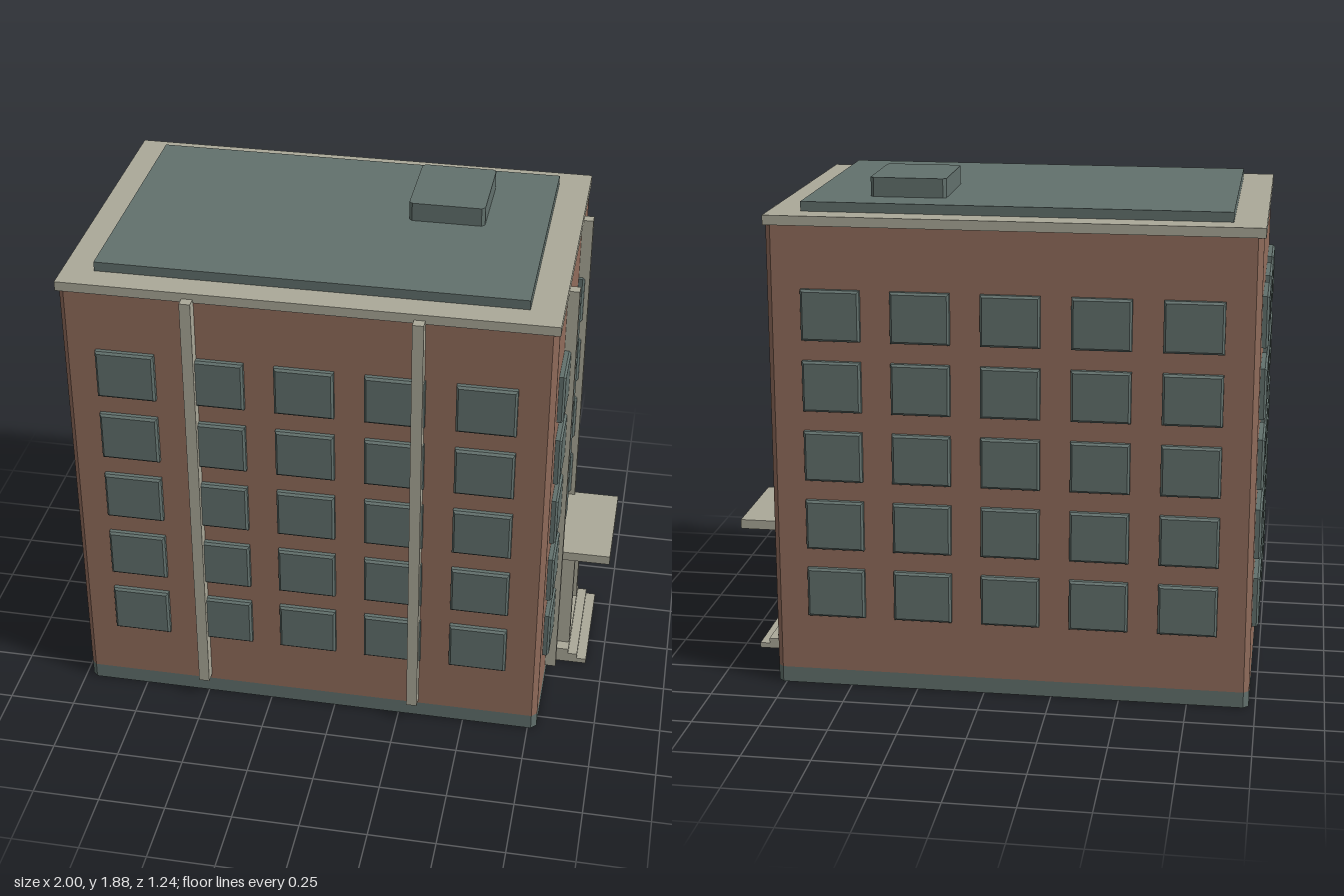
import * as THREE from 'three';

const mat = (name, color) => {
  const m = new THREE.MeshStandardMaterial({ color });
  m.name = name;
  return m;
};

export function createModel() {
  const root = new THREE.Group();
  root.name = 'apartmentBlock';
  const brick = mat('brick', 0x926d5c);
  const slate = mat('slate', 0x62716d);
  const stone = mat('stone', 0xaba999);

  const add = (name, geo, material, parent = root) => {
    const m = new THREE.Mesh(geo, material);
    m.name = name;
    parent.add(m);
    return m;
  };

  // Box given by its limits on each axis
  const box = (name, x0, x1, y0, y1, z0, z1, material, parent) => {
    const m = add(name, new THREE.BoxGeometry(x1 - x0, y1 - y0, z1 - z0), material, parent);
    m.position.set((x0 + x1) / 2, (y0 + y1) / 2, (z0 + z1) / 2);
    return m;
  };

  // Upright block with chamfered vertical edges
  const block = (name, x0, x1, y0, y1, z0, z1, c, material) => {
    const w = (x1 - x0) / 2, d = (z1 - z0) / 2;
    const s = new THREE.Shape([
      [-w + c, -d], [w - c, -d], [w, -d + c], [w, d - c],
      [w - c, d], [-w + c, d], [-w, d - c], [-w, -d + c],
    ].map(([x, y]) => new THREE.Vector2(x, y)));
    const g = new THREE.ExtrudeGeometry(s, { depth: y1 - y0, bevelEnabled: false });
    g.rotateX(-Math.PI / 2);
    const m = add(name, g, material);
    m.position.set((x0 + x1) / 2, y0, (z0 + z1) / 2);
    return m;
  };

  // Main volume, plinth and roof
  const X0 = -0.976, X1 = 0.783, Z0 = -0.594, Z1 = 0.573;
  block('plinth', X0, X1, 0, 0.06, Z0, Z1, 0.02, slate);
  block('brickWalls', X0, X1, 0.06, 1.74, Z0, Z1, 0.02, brick);
  box('cornice', -0.983, 0.788, 1.74, 1.775, -0.601, 0.58, stone);
  box('roofSlab', -0.868, 0.672, 1.775, 1.81, -0.503, 0.478, slate);
  block('roofHatch', 0.168, 0.446, 1.81, 1.88, -0.365, -0.037, 0.012, slate);

  // Window panel with a chamfered rim, facing +z, back at z = 0
  const windowGeo = (w, h) => {
    const b = 0.008, x = w / 2 - b, y = h / 2 - b;
    const s = new THREE.Shape([
      new THREE.Vector2(-x, -y), new THREE.Vector2(x, -y),
      new THREE.Vector2(x, y), new THREE.Vector2(-x, y),
    ]);
    return new THREE.ExtrudeGeometry(s, {
      depth: 0.016, bevelEnabled: true, bevelThickness: b, bevelSize: b, bevelSegments: 1,
    });
  };
  const longGeo = windowGeo(0.214, 0.187);
  const sideGeo = windowGeo(0.239, 0.187);
  const windows = new THREE.Group();
  windows.name = 'windows';
  root.add(windows);
  const pane = (name, geo, x, y, z, turn) => {
    const m = add(name, geo, slate, windows);
    m.position.set(x, y, z);
    m.rotation.y = turn;
  };
  for (let row = 0; row < 5; row++) {
    const y = 0.371 + row * 0.2622;
    for (let i = 0; i < 5; i++) {
      const x = -0.746 + i * 0.3235;
      pane('frontWindow', longGeo, x, y, 0.573, 0);
      pane('backWindow', longGeo, x, y, -0.596, Math.PI);
    }
    for (let i = 0; i < 3; i++) {
      const z = 0.349 - i * 0.3585;
      pane('rightEndWindow', sideGeo, -0.976, y, z, -Math.PI / 2);
      // The entrance takes the place of the lowest middle window
      if (row > 0 || i !== 1) pane('leftEndWindow', sideGeo, 0.783, y, z, Math.PI / 2);
    }
  }

  // Stone pilaster strips
  for (const x of [-0.507, 0.307]) {
    box('frontPilaster', x - 0.02, x + 0.02, 0.08, 1.753, 0.565, 0.617, stone);
  }
  for (const z of [0.266, -0.281]) {
    box('endPilaster', 0.775, 0.824, 0.08, 1.753, z - 0.019, z + 0.019, stone);
  }

  // Entrance porch on the +x end
  const porch = new THREE.Group();
  porch.name = 'porch';
  root.add(porch);
  [0.935, 0.898, 0.863].forEach((x, i) => {
    box('step', 0.775, x, i * 0.02, (i + 1) * 0.02, -0.284, 0.148, stone, porch);
  });
  for (const z of [0.083, -0.224]) {
    box('porchJamb', 0.775, 0.862, 0.06, 0.488, z - 0.019, z + 0.019, stone, porch);
  }
  box('canopy', 0.775, 0.997, 0.488, 0.524, -0.281, 0.135, stone, porch);
  box('doorBack', 0.775, 0.795, 0.06, 0.488, -0.206, 0.065, slate, porch);
  box('doorLeaf', 0.795, 0.803, 0.06, 0.483, -0.06, 0.064, slate, porch);
  box('doorLeaf', 0.795, 0.803, 0.06, 0.483, -0.205, -0.081, slate, porch);

  return root;
}
